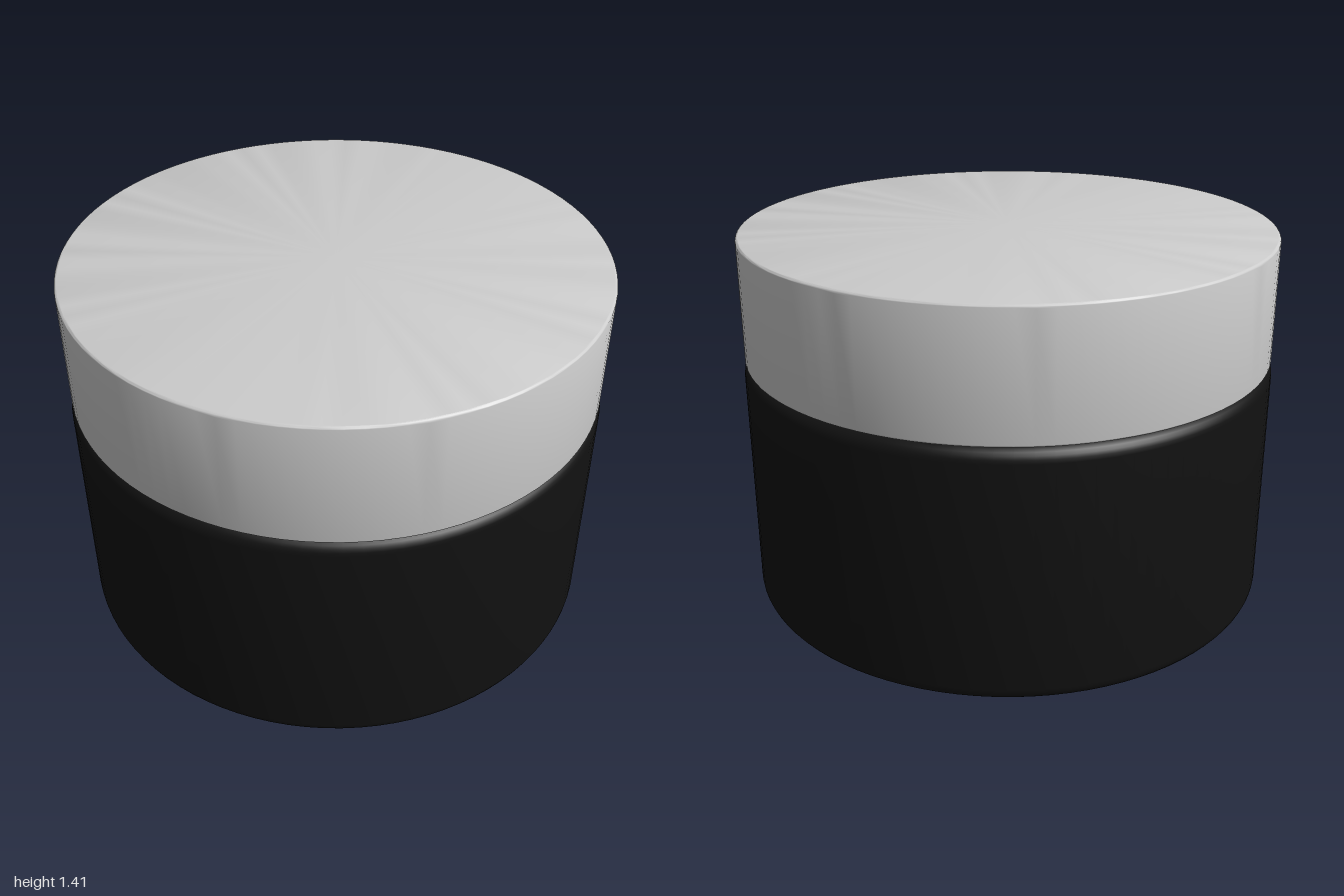
import * as THREE from 'three';
import { toCreasedNormals } from 'three/addons/utils/BufferGeometryUtils.js';

// Each profile corner is [radius, y, fillet]; a fillet rounds that corner.
function turned(name, corners, color) {
  const pts = corners.map(([r, y]) => new THREE.Vector2(r, y));
  const profile = [];
  corners.forEach(([, , fillet = 0], i) => {
    const p = pts[i];
    if (!fillet) return profile.push(p);
    const from = p.clone().add(pts[i - 1].clone().sub(p).setLength(fillet));
    const to = p.clone().add(pts[i + 1].clone().sub(p).setLength(fillet));
    // Weighted control points bring the curve close to a circular arc
    const a = from.clone().lerp(p, 0.5523), b = to.clone().lerp(p, 0.5523);
    profile.push(...new THREE.CubicBezierCurve(from, a, b, to).getPoints(6));
  });
  const geometry = toCreasedNormals(new THREE.LatheGeometry(profile, 96), Math.PI / 6);
  const mesh = new THREE.Mesh(geometry, new THREE.MeshStandardMaterial({ color }));
  mesh.name = name;
  return mesh;
}

export function createModel() {
  const model = new THREE.Group();
  model.name = 'lidded jar';

  // Dark jar: recessed base, rounded wall, neck and hollow interior
  model.add(turned('jarBody', [
    [0, 0.02], [0.88, 0.02, 0.015], [0.91, 0, 0.015],
    [1, 0, 0.05], [1, 0.94, 0.05],
    [0.88, 0.94], [0.88, 1.32, 0.02], [0.8, 1.32, 0.02],
    [0.8, 0.1, 0.05], [0, 0.1],
  ], 0x111111));

  // Grey screw lid: hollow cap with a finely rounded rim
  model.add(turned('lid', [
    [0, 1.34], [0.92, 1.34], [0.92, 0.944],
    [0.995, 0.944, 0.008], [0.995, 1.408, 0.012], [0, 1.408],
  ], 0xcccccc));

  return model;
}
